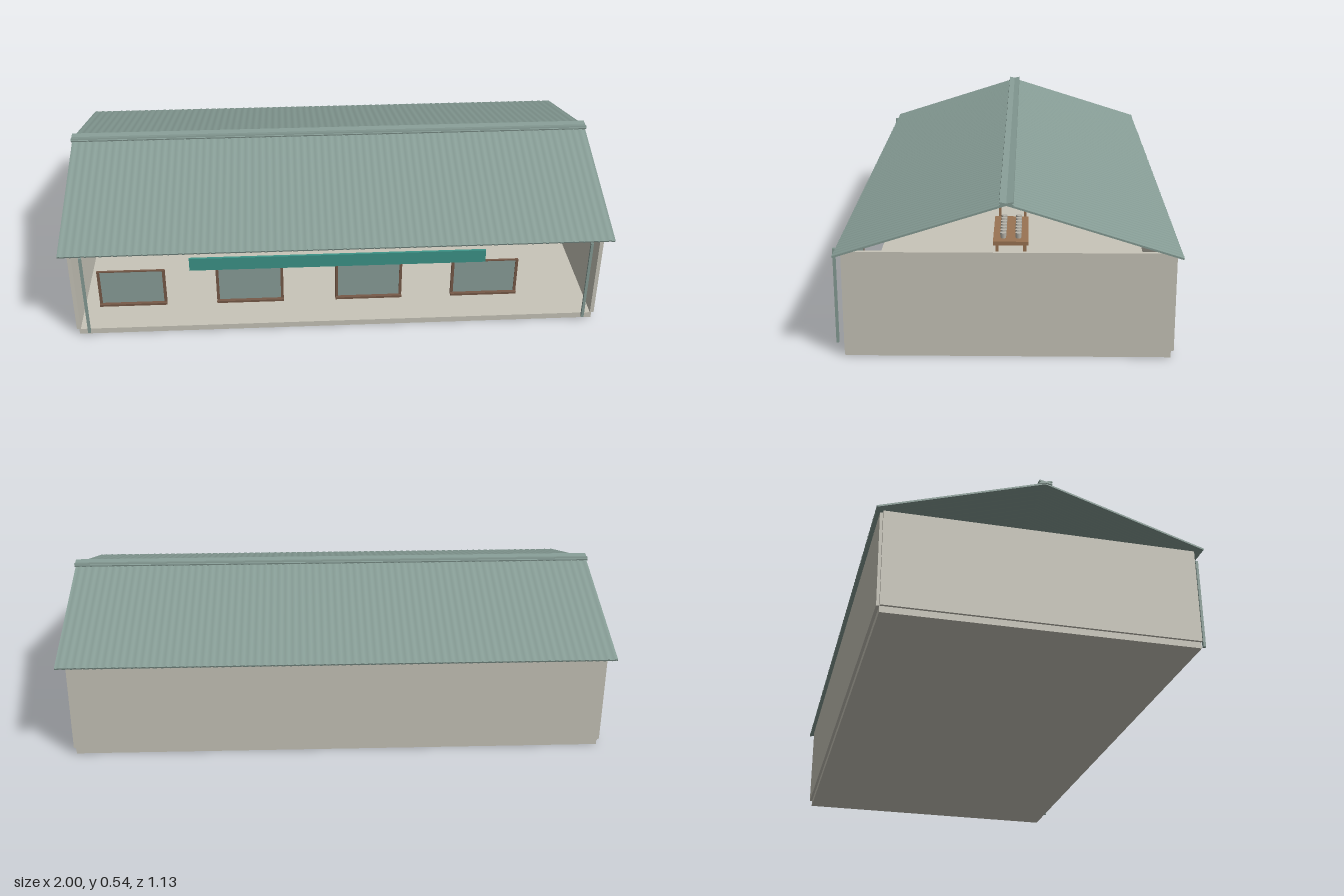
import * as THREE from 'three';

const mat = (name, color, side = THREE.FrontSide) => {
  const m = new THREE.MeshStandardMaterial({ color, side });
  m.name = name;
  return m;
};

export function createModel() {
  const model = new THREE.Group();
  model.name = 'marketHall';
  const plaster = mat('plaster', 0xc8c5b9);
  const metal = mat('roofMetal', 0x869c95, THREE.DoubleSide);
  const glass = mat('glass', 0x8a9e9a);
  const teal = mat('tealBoard', 0x3d9488);
  const wood = mat('wood', 0x9a7453);
  const darkWood = mat('darkWood', 0x775a48);
  const ware = mat('ware', 0xb9b6ac);

  // Box given by its lower and upper limits on each axis
  const box = (name, material, [x0, x1], [y0, y1], [z0, z1], parent = model) => {
    const mesh = new THREE.Mesh(new THREE.BoxGeometry(x1 - x0, y1 - y0, z1 - z0), material);
    mesh.position.set((x0 + x1) / 2, (y0 + y1) / 2, (z0 + z1) / 2);
    mesh.name = name;
    parent.add(mesh);
    return mesh;
  };

  // Floor slab and three walls; the front and gables stay open
  box('floorSlab', plaster, [-0.957, 0.953], [0, 0.022], [-0.535, 0.53]);
  box('backWall', plaster, [-0.957, 0.953], [0.022, 0.363], [-0.545, -0.533]);
  box('leftWall', plaster, [0.948, 0.962], [0.022, 0.363], [-0.535, 0.53]);
  box('rightWall', plaster, [-0.966, -0.952], [0.022, 0.363], [-0.535, 0.53]);

  // Corrugated roof slopes, from ridge down to each eave
  const roofSlope = (name, zEave) => {
    const ridgeY = 0.533, eaveY = 0.357, waves = 75;
    const length = Math.hypot(zEave, ridgeY - eaveY);
    const geo = new THREE.BoxGeometry(1.992, 0.006, length, waves * 4, 1, 1);
    const p = geo.attributes.position;
    for (let i = 0; i < p.count; i++) {
      p.setY(i, p.getY(i) + 0.0012 * Math.sin((p.getX(i) / 1.992 + 0.5) * waves * Math.PI * 2));
    }
    geo.computeVertexNormals();
    const mesh = new THREE.Mesh(geo, metal);
    mesh.name = name;
    mesh.position.set(0, (ridgeY + eaveY) / 2, zEave / 2);
    mesh.rotation.x = Math.atan2(ridgeY - eaveY, Math.abs(zEave)) * Math.sign(zEave);
    model.add(mesh);
  };
  roofSlope('frontRoof', 0.552);
  roofSlope('backRoof', -0.56);

  // Ridge cap: two crossing strips
  for (const s of [-1, 1]) {
    const cap = box('ridgeCap', metal, [-1, 1], [0.533, 0.539], [-0.023, 0.023]);
    cap.rotation.x = s * 0.2;
  }

  // Slim front posts
  for (const x of [-0.915, 0.91]) {
    box('frontPost', metal, [x - 0.005, x + 0.005], [0.028, 0.357], [0.555, 0.564]);
  }

  // Long board below the eave
  box('frontBoard', teal, [-0.535, 0.53], [0.281, 0.331], [0.538, 0.547]);

  // Hanging windows with side frames and projecting sill
  for (const x of [-0.745, -0.322, 0.108, 0.53]) {
    const w = new THREE.Group();
    w.name = 'window';
    w.position.x = x;
    model.add(w);
    box('pane', glass, [-0.114, 0.114], [0.147, 0.283], [0.538, 0.543], w);
    for (const s of [-1, 1]) {
      box('frame', darkWood, [s * 0.116 - 0.005, s * 0.116 + 0.005], [0.143, 0.285], [0.536, 0.546], w);
    }
    box('topFrame', darkWood, [-0.116, 0.116], [0.281, 0.285], [0.537, 0.545], w);
    box('sill', darkWood, [-0.121, 0.121], [0.14, 0.148], [0.536, 0.556], w);
  }

  // Tables with rows of small wares
  for (const x of [-0.53, -0.003, 0.53]) {
    const table = new THREE.Group();
    table.name = 'table';
    table.position.x = x;
    model.add(table);
    box('tableTop', wood, [-0.16, 0.16], [0.1, 0.116], [-0.07, 0.07], table);
    for (const lx of [-0.14, 0.14]) for (const lz of [-0.055, 0.055]) {
      box('tableLeg', wood, [lx - 0.006, lx + 0.006], [0.022, 0.1], [lz - 0.006, lz + 0.006], table);
    }
    for (let i = 0; i < 7; i++) for (const z of [-0.03, 0.03]) {
      const cup = new THREE.Mesh(new THREE.CylinderGeometry(0.013, 0.011, 0.022, 10), ware);
      cup.name = 'cup';
      cup.position.set((i - 3) * 0.037, 0.127, z);
      table.add(cup);
    }
  }
  return model;
}
